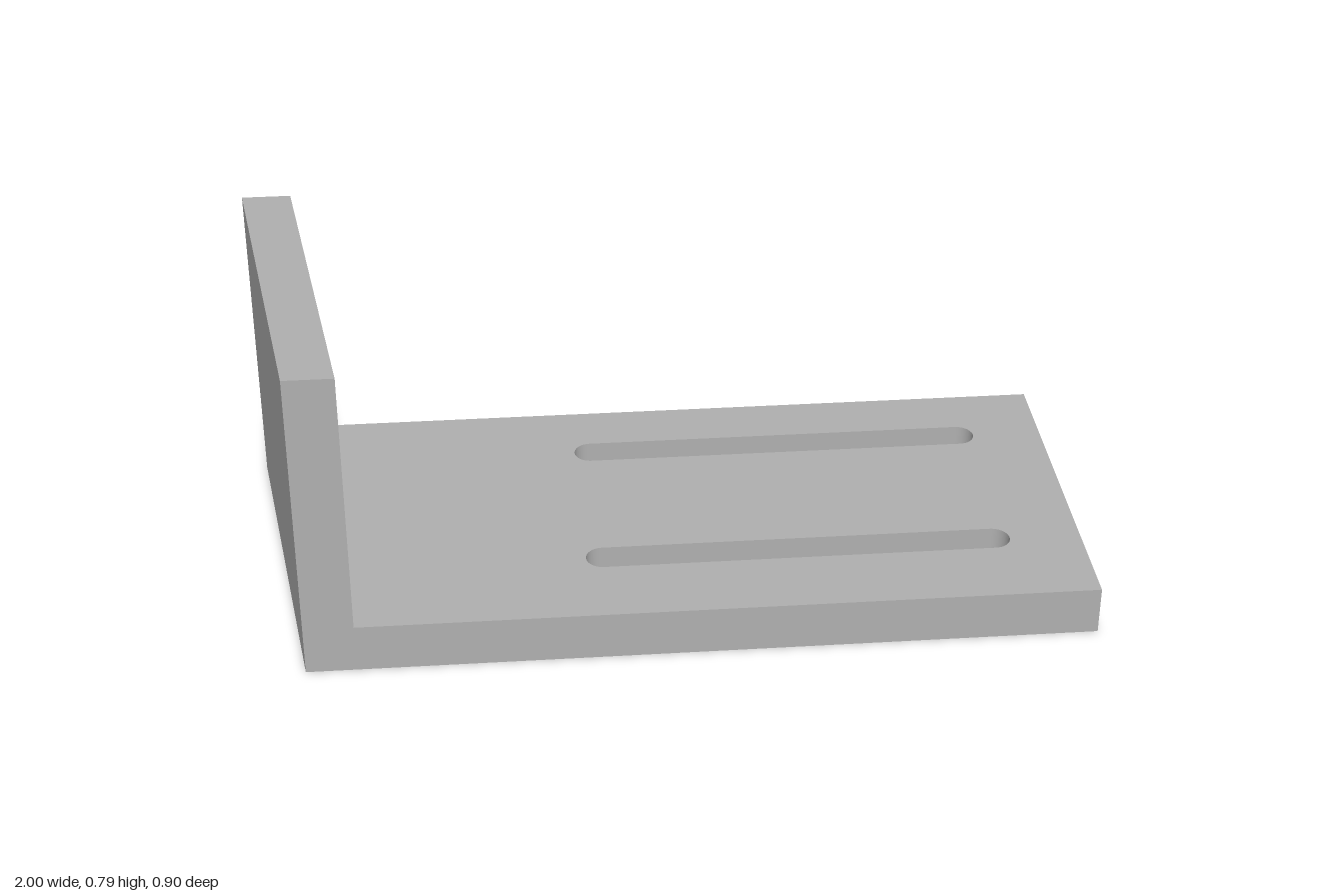
import * as THREE from 'three';

const HEIGHT = 0.787, THICK = 0.12, HALF_DEPTH = 0.45;
const BACK_X = -1, FRONT_X = -0.872, WALL = 0.118;

// Plan outline drawn as (x, -z), then raised along y
function plan(points) {
  return new THREE.Shape(points.map(([x, z]) => new THREE.Vector2(x, -z)));
}

function raise(shape, bottom, top) {
  const g = new THREE.ExtrudeGeometry(shape, { depth: top - bottom, bevelEnabled: false, curveSegments: 24 });
  return g.rotateX(-Math.PI / 2).translate(0, bottom, 0);
}

// Long slot with round ends
function slot(x0, x1, z, r) {
  const p = new THREE.Path();
  p.absarc(x0 + r, -z, r, Math.PI / 2, Math.PI * 1.5, false);
  p.absarc(x1 - r, -z, r, -Math.PI / 2, Math.PI / 2, false);
  p.closePath();
  return p;
}

export function createModel() {
  const group = new THREE.Group();
  group.name = 'slottedAngleBracket';
  const steel = new THREE.MeshStandardMaterial({ color: 0xb0b0b0 });
  steel.name = 'plain grey';

  const add = (name, geometry) => {
    const mesh = new THREE.Mesh(geometry, steel);
    mesh.name = name;
    group.add(mesh);
  };

  // Base plate with a skewed end and two slots
  const base = plan([[BACK_X, -HALF_DEPTH], [FRONT_X, HALF_DEPTH], [1, HALF_DEPTH], [1, -HALF_DEPTH]]);
  for (const z of [-0.261, 0.214]) base.holes.push(slot(-0.203, 0.827, z, 0.041));
  add('basePlate', raise(base, 0, THICK));

  // Upright flange following the skewed end
  const wall = plan([
    [BACK_X, -HALF_DEPTH], [FRONT_X, HALF_DEPTH],
    [FRONT_X + WALL, HALF_DEPTH], [BACK_X + WALL, -HALF_DEPTH],
  ]);
  add('uprightFlange', raise(wall, THICK, HEIGHT));

  return group;
}
